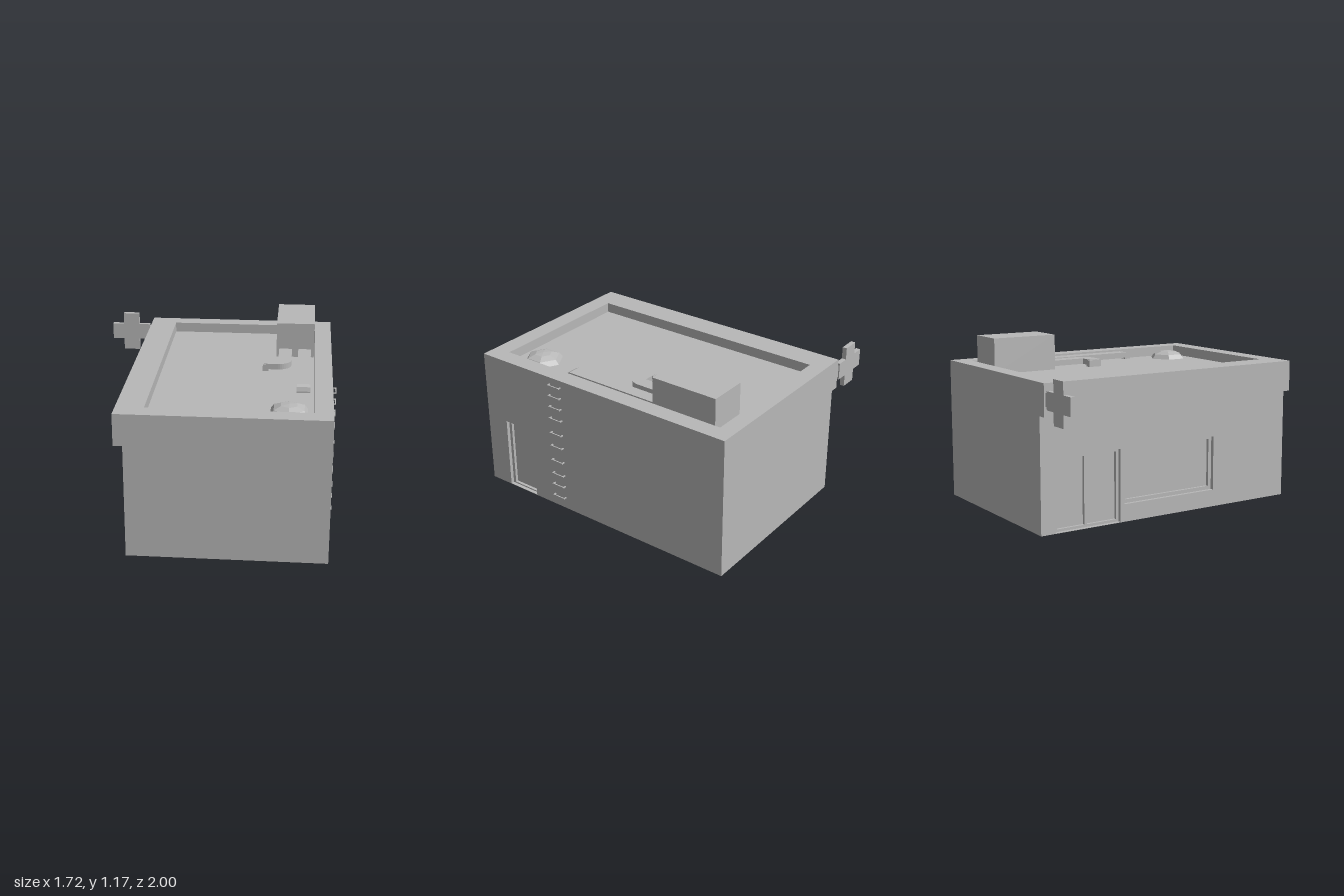
import * as THREE from 'three';

const ROOF = 0.92, TOP = 0.99;

export function createModel() {
  const model = new THREE.Group();
  model.name = 'building';
  const grey = new THREE.MeshStandardMaterial({ color: 0xb8b8b8 });
  grey.name = 'grey';

  const add = (name, geometry, parent = model) => {
    const mesh = new THREE.Mesh(geometry, grey);
    mesh.name = name;
    parent.add(mesh);
    return mesh;
  };
  // Box given by its lower and upper limits
  const box = (name, x0, x1, y0, y1, z0, z1, parent) => {
    const g = new THREE.BoxGeometry(x1 - x0, y1 - y0, z1 - z0);
    g.translate((x0 + x1) / 2, (y0 + y1) / 2, (z0 + z1) / 2);
    return add(name, g, parent);
  };
  const rect = (target, a0, a1, b0, b1) => {
    target.moveTo(a0, b0);
    target.lineTo(a1, b0);
    target.lineTo(a1, b1);
    target.lineTo(a0, b1);
    target.closePath();
    return target;
  };
  const withHoles = (shape, holes) => {
    holes.forEach((h) => shape.holes.push(rect(new THREE.Path(), ...h)));
    return shape;
  };
  const extrude = (shape, depth) =>
    new THREE.ExtrudeGeometry(shape, { depth, bevelEnabled: false, curveSegments: 5 });

  // Wall layer in the z-y plane between x0 and x1, with openings [z0, z1, y0, y1]
  const wall = (name, x0, x1, holes) => {
    const g = extrude(withHoles(rect(new THREE.Shape(), -1, 1, 0, ROOF), holes), x1 - x0);
    g.rotateY(-Math.PI / 2);
    g.translate(x1, 0, 0);
    add(name, g);
  };
  // Flat plan in x-z hanging down from the height y
  const plan = (name, shape, y, depth, parent) => {
    const g = extrude(shape, depth);
    g.rotateX(Math.PI / 2);
    g.translate(0, y, 0);
    return add(name, g, parent);
  };

  // Core, which also closes the backs of doors and windows
  box('buildingCore', -0.435, 0.785, 0, ROOF, -1, 1);

  // Shop side: double door and display window, stepped inward
  wall('shopWall', -0.48, -0.455, [
    [-0.89, -0.4, 0.003, 0.5],
    [-0.37, 0.37, 0.12, 0.5],
  ]);
  wall('shopFrames', -0.455, -0.435, [
    [-0.87, -0.665, 0.02, 0.48],
    [-0.645, -0.42, 0.02, 0.48],
    [-0.345, 0.345, 0.145, 0.48],
  ]);

  // Service side: single door
  wall('serviceWall', 0.805, 0.83, [[0.58, 0.83, 0.003, 0.515]]);
  wall('serviceDoorFrame', 0.785, 0.805, [[0.602, 0.808, 0.012, 0.495]]);

  // Fascia over the shop and the parapet around the roof
  box('fascia', -0.54, -0.48, 0.775, ROOF, -1, 1);
  plan('parapet',
    withHoles(rect(new THREE.Shape(), -0.54, 0.83, -1, 1), [[-0.355, 0.71, -0.885, 0.875]]),
    TOP, TOP - ROOF);

  // Roof unit with a straight and a bent duct
  const plant = new THREE.Group();
  plant.name = 'roofPlant';
  model.add(plant);
  box('ventilationUnit', 0.435, 0.705, ROOF, 1.17, -0.845, -0.365, plant);

  // Straight duct, turned down at its end
  const side = new THREE.Shape();
  [[-0.37, 0.98], [0.35, 0.98], [0.375, 0.968], [0.385, 0.94], [0.385, 0.93],
    [0.34, 0.93], [0.34, 0.94], [-0.37, 0.94]]
    .forEach(([z, y], i) => (i ? side.lineTo(z, y) : side.moveTo(z, y)));
  const straight = extrude(side, 0.09);
  straight.rotateY(-Math.PI / 2);
  straight.translate(0.682, 0, 0);
  add('straightDuct', straight, plant);

  const bend = new THREE.Shape();
  bend.moveTo(0.455, -0.37);
  bend.lineTo(0.547, -0.37);
  bend.lineTo(0.547, -0.12);
  bend.absarc(0.457, -0.12, 0.09, 0, Math.PI / 2, false);
  bend.lineTo(0.36, -0.03);
  bend.lineTo(0.36, -0.12);
  bend.lineTo(0.455, -0.12);
  bend.closePath();
  plan('bentDuct', bend, 0.98, 0.04, plant);
  box('bentDuctOutlet', 0.35, 0.39, 0.928, 0.976, -0.127, -0.027, plant);

  // Six-sided skylight
  const dome = new THREE.LatheGeometry(
    [[0.137, ROOF], [0.113, 0.952], [0.06, 0.972], [0, 0.978]].map((p) => new THREE.Vector2(...p)), 6)
    .toNonIndexed();
  dome.computeVertexNormals();
  dome.translate(0.55, 0, 0.705);
  add('skylight', dome);

  // Wall rungs, each a bar on two short stems
  const ladder = new THREE.Group();
  ladder.name = 'ladder';
  model.add(ladder);
  for (const y of [0.085, 0.175, 0.262, 0.368, 0.48, 0.58, 0.692, 0.78, 0.862, 0.94]) {
    const lo = y - 0.004, hi = y + 0.004;
    box('rungBar', 0.847, 0.855, lo, hi, 0.3, 0.4, ladder);
    box('rungStem', 0.83, 0.847, lo, hi, 0.3, 0.308, ladder);
    box('rungStem', 0.83, 0.847, lo, hi, 0.392, 0.4, ladder);
  }

  // Cross-shaped sign on a bracket
  const cross = new THREE.Shape();
  const a = 0.06, b = 0.145;
  [[-a, -b], [a, -b], [a, -a], [b, -a], [b, a], [a, a], [a, b], [-a, b], [-a, a], [-b, a], [-b, -a], [-a, -a]]
    .forEach(([x, y], i) => (i ? cross.lineTo(x, y) : cross.moveTo(x, y)));
  const sign = extrude(cross, 0.032);
  sign.translate(-0.715, 0.885, -0.998);
  add('crossSign', sign);
  box('signBracket', -0.575, -0.54, 0.842, 0.93, -0.99, -0.974);

  return model;
}
